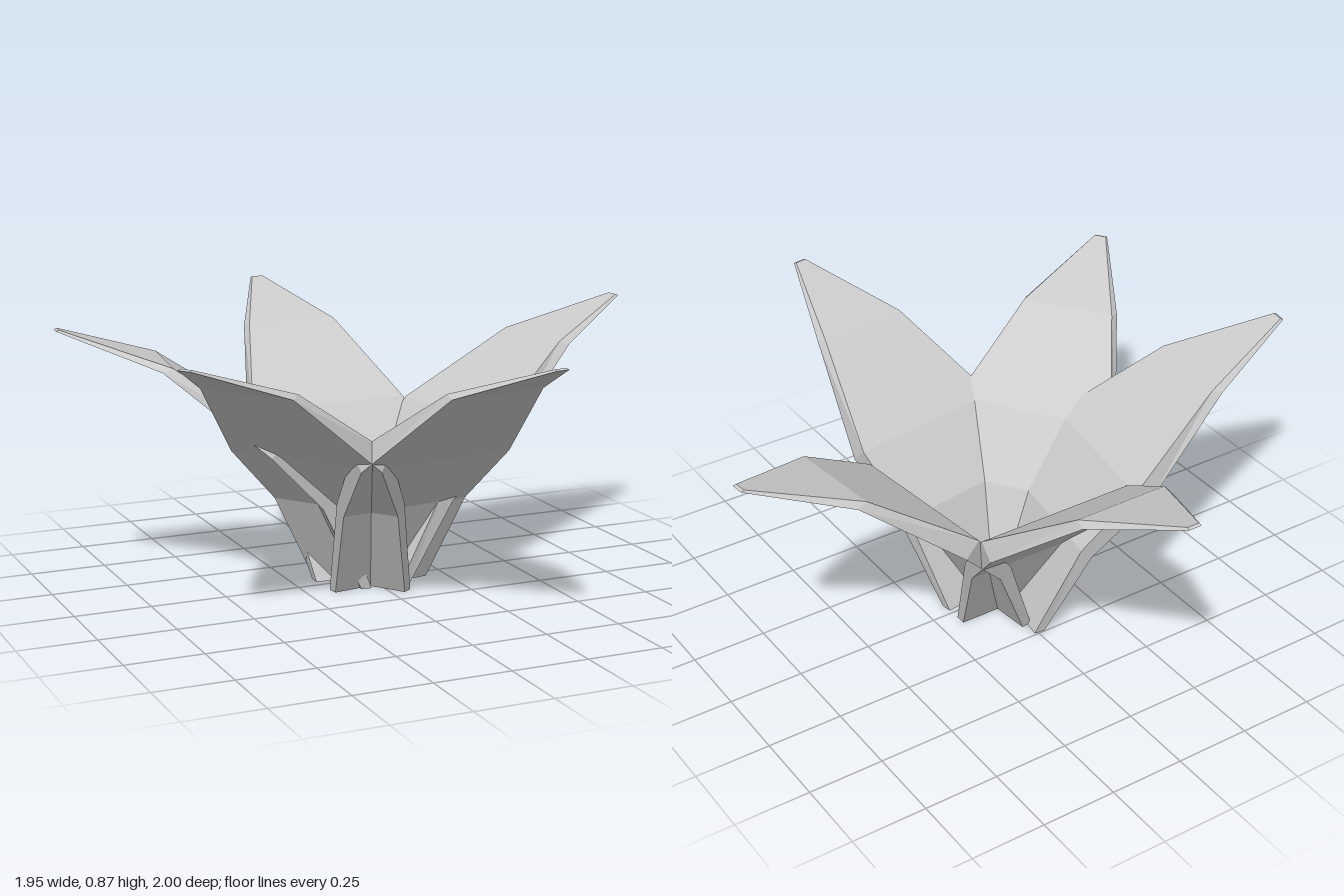
import * as THREE from 'three';

// Petal stations from foot to tip: inner [radius, height, half width], outer [same]
const STATIONS = [
  [[0.03, 0, 0.175], [0.065, 0, 0.175]],
  [[0.165, 0.325, 0.23], [0.205, 0.29, 0.23]],
  [[0.33, 0.525, 0.275], [0.38, 0.475, 0.275]],
  [[0.66, 0.753, 0.158], [0.695, 0.742, 0.165]],
  [[0.99, 0.866, 0.02], [1.0, 0.862, 0.022]],
];

// Four-cornered sections lofted outward along +z
function petalGeometry() {
  const rings = STATIONS.map(([[ri, yi, hi], [ro, yo, ho]]) => [
    [-hi, yi, ri], [hi, yi, ri], [ho, yo, ro], [-ho, yo, ro],
  ]);
  const pos = [];
  const quad = (a, b, c, d) => pos.push(...a, ...b, ...c, ...a, ...c, ...d);
  for (let i = 0; i < rings.length - 1; i++) {
    for (let k = 0; k < 4; k++) {
      const n = (k + 1) % 4;
      quad(rings[i][k], rings[i + 1][k], rings[i + 1][n], rings[i][n]);
    }
  }
  // Foot and tip caps
  quad(...rings[0]);
  quad(...[...rings[rings.length - 1]].reverse());
  const geo = new THREE.BufferGeometry();
  geo.setAttribute('position', new THREE.Float32BufferAttribute(pos, 3));
  geo.computeVertexNormals();
  return geo;
}

export function createModel() {
  const group = new THREE.Group();
  group.name = 'flower';
  const geo = petalGeometry();
  const material = new THREE.MeshStandardMaterial({ color: 0xcccccc, flatShading: true });

  // Five unevenly spread, crossing petals: name, heading in degrees from +z, x and z shift
  const petals = [
    ['backPetal', 180, 0, 0],
    ['leftPetal', 96.2, -0.02, -0.012],
    ['frontPetal', 8.4, 0, 0.01],
    ['frontRightPetal', -55, -0.005, 0.005],
    ['rightPetal', -98.2, 0.017, -0.065],
  ];
  for (const [name, heading, x, z] of petals) {
    const petal = new THREE.Mesh(geo, material);
    petal.name = name;
    petal.rotation.y = THREE.MathUtils.degToRad(heading);
    petal.position.set(x, 0, z);
    group.add(petal);
  }
  return group;
}
